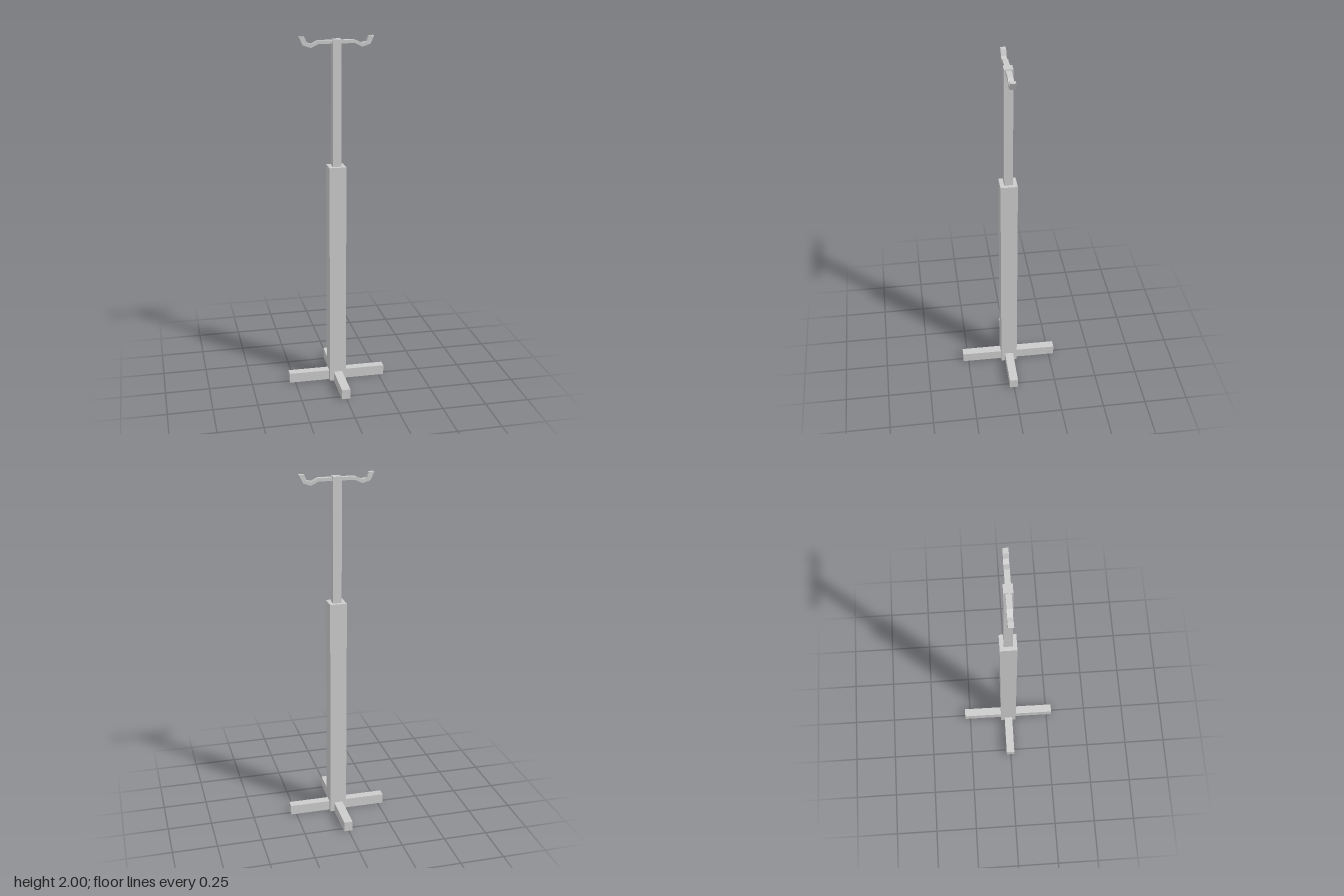
import * as THREE from 'three';

const material = new THREE.MeshStandardMaterial({ color: 0xcccccc, flatShading: true });

function addMesh(parent, name, geometry) {
  const mesh = new THREE.Mesh(geometry, material);
  mesh.name = name;
  parent.add(mesh);
  return mesh;
}

// Square bar along y, from y0 to y1
function addColumn(parent, name, width, y0, y1) {
  const mesh = addMesh(parent, name, new THREE.BoxGeometry(width, y1 - y0, width));
  mesh.position.y = (y0 + y1) / 2;
}

export function createModel() {
  const model = new THREE.Group();
  model.name = 'hookStand';

  // Crossed feet, turned a touch off the axes
  const base = new THREE.Group();
  base.name = 'crossBase';
  base.rotation.y = -0.006;
  model.add(base);
  for (let i = 0; i < 4; i++) {
    const foot = addMesh(base, 'foot', new THREE.BoxGeometry(0.281, 0.057, 0.049).translate(0.1405, 0.0285, 0));
    foot.rotation.y = i * Math.PI / 2;
  }

  // Thick lower post and slim upper mast
  addColumn(model, 'lowerPost', 0.095, 0, 1.29);
  addColumn(model, 'upperMast', 0.048, 1.2, 1.985);

  // Hanger bar: half outline, mirrored to give a hook at each end
  const top = [[0.1, 1.98], [0.136, 1.963], [0.162, 1.969], [0.174, 2]];
  const bottom = [[0.204, 2], [0.183, 1.956], [0.14, 1.942], [0.098, 1.962]];
  const right = [...top, ...bottom];
  const left = right.map(([x, y]) => [-x, y]).reverse();
  const outline = new THREE.Shape([...right, ...left].map(([x, y]) => new THREE.Vector2(x, y)));
  const hanger = new THREE.ExtrudeGeometry(outline, { depth: 0.029, bevelEnabled: false });
  addMesh(model, 'hangerBar', hanger.translate(0, 0, -0.0135));

  return model;
}
